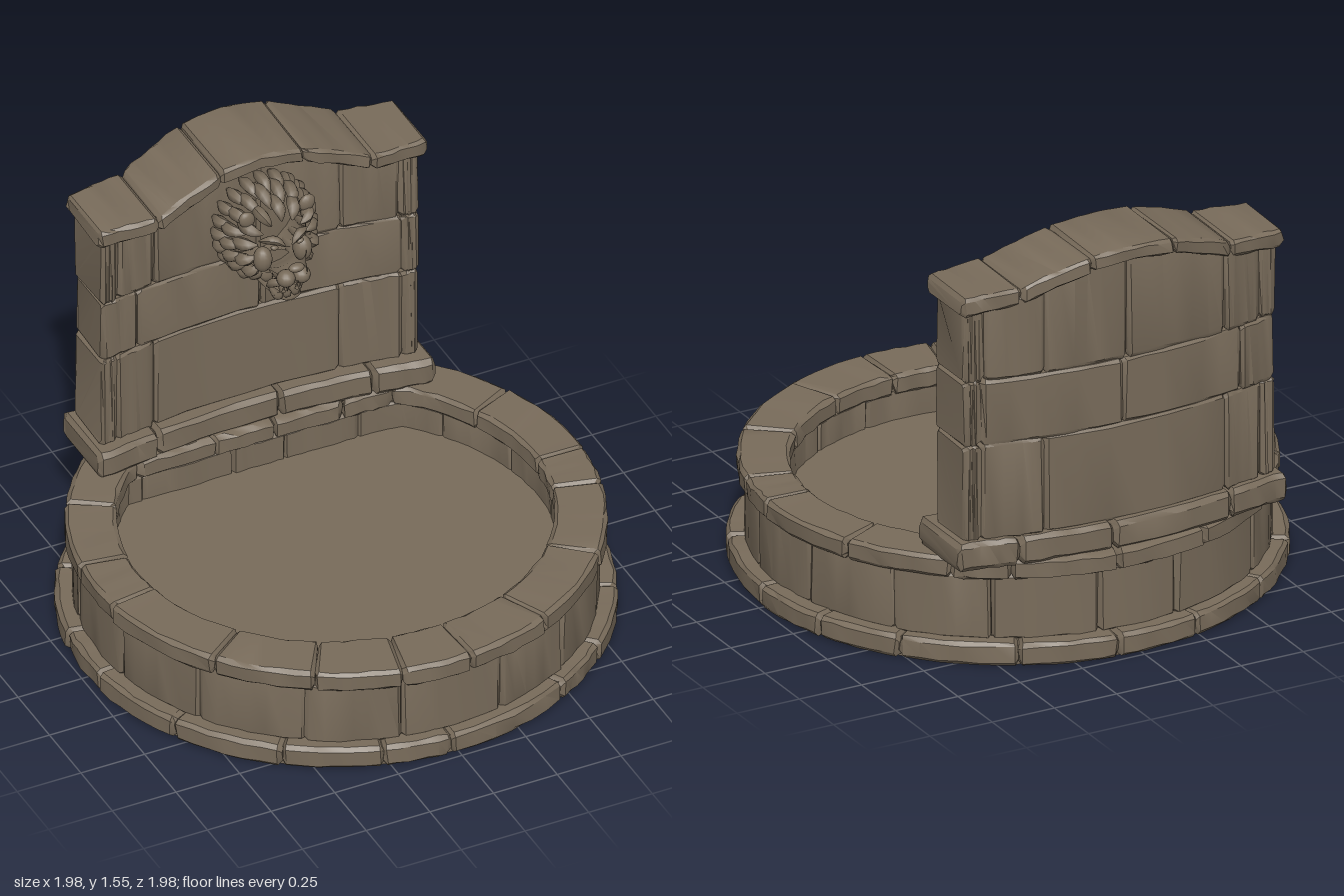
import * as THREE from 'three';
import { toCreasedNormals } from 'three/addons/utils/BufferGeometryUtils.js';

const stone = new THREE.MeshStandardMaterial({ color: 0x786b5a });
stone.name = 'weathered stone';

let seed = 7;
const rand = () => (seed = (seed * 16807) % 2147483647) / 2147483647;
const jitter = (a) => (rand() - 0.5) * 2 * a;

// piecewise linear lookup on |x|, for mirrored profiles
function profile(xs, ys) {
  return (x) => {
    const a = Math.abs(x);
    let i = 0;
    while (i < xs.length - 2 && a > xs[i + 1]) i++;
    return THREE.MathUtils.lerp(ys[i], ys[i + 1], (a - xs[i]) / (xs[i + 1] - xs[i]));
  };
}

function add(parent, name, geometry) {
  const mesh = new THREE.Mesh(geometry, stone);
  mesh.name = name;
  parent.add(mesh);
  return mesh;
}

function group(parent, name) {
  const g = new THREE.Group();
  g.name = name;
  parent.add(g);
  return g;
}

// skin a list of closed rings of points and cap both ends
function loft(rings, crease = 0.5) {
  const n = rings[0].length, pos = [], index = [];
  rings.forEach((ring) => ring.forEach((p) => pos.push(p.x, p.y, p.z)));
  for (let i = 0; i < rings.length - 1; i++) {
    for (let j = 0; j < n; j++) {
      const a = i * n + j, c = i * n + (j + 1) % n;
      index.push(a, a + n, c, a + n, c + n, c);
    }
  }
  const e = (rings.length - 1) * n;
  for (let j = 1; j < n - 1; j++) index.push(0, j, j + 1, e, e + j + 1, e + j);
  const g = new THREE.BufferGeometry();
  g.setAttribute('position', new THREE.Float32BufferAttribute(pos, 3));
  g.setIndex(index);
  return toCreasedNormals(g, crease);
}

// chamfered stone: map(s, u, v) places it, s along, u back to front, v up
function block(map, s0, s1, cu, cv, cs = 0.014, rough = 0.004) {
  const steps = 6, stops = [[s0, 1]];
  for (let i = 0; i <= steps; i++) stops.push([s0 + cs + (s1 - s0 - 2 * cs) * i / steps, 0]);
  stops.push([s1, 1]);
  return loft(stops.map(([s, inset]) => {
    const a = inset * cu, b = inset * cv, A = a + cu, B = b + cv;
    const corners = [[A, b], [1 - A, b], [1 - a, B], [1 - a, 1 - B],
      [1 - A, 1 - b], [A, 1 - b], [a, 1 - B], [a, B]];
    return corners.map(([u, v]) => {
      const p = map(s, u, v);
      p.set(p.x + jitter(rough), Math.max(0, p.y + jitter(rough * 0.6)), p.z + jitter(rough));
      return p;
    });
  }));
}

// ring of irregular curved blocks
function stoneRing(parent, name, count, inner, outer, y0, y1, cu, cv, shift) {
  const g = group(parent, name);
  const cuts = Array.from({ length: count }, (_, i) => shift + (i + jitter(0.22)) * Math.PI * 2 / count);
  cuts.push(cuts[0] + Math.PI * 2);
  for (let i = 0; i < count; i++) {
    const grow = jitter(0.005);
    add(g, name + 'Block', block((s, u, v) => {
      const r = THREE.MathUtils.lerp(inner(s), outer + grow, u);
      return new THREE.Vector3(r * Math.sin(s), y0 + (y1 - y0) * v, r * Math.cos(s));
    }, cuts[i], cuts[i + 1], cu, cv));
  }
}

// row of blocks between two plan curves and two height curves
function stoneRow(parent, name, cuts, back, front, bottom, top, cu, cv) {
  const g = group(parent, name);
  for (let i = 0; i < cuts.length - 1; i++) {
    const push = jitter(0.004);
    add(g, name + 'Block', block((x, u, v) => new THREE.Vector3(
      x,
      THREE.MathUtils.lerp(bottom(x), top(x), v),
      THREE.MathUtils.lerp(back(x), front(x), u) + push
    ), cuts[i], cuts[i + 1], cu, cv));
  }
}

function ellipsoid(parent, name, p, size, rz = 0) {
  const m = add(parent, name, new THREE.SphereGeometry(1, 14, 10));
  m.position.set(...p);
  m.scale.set(...size);
  m.rotation.z = rz;
}

// lock of hair: a tube that swells and tapers to a point
function lock(parent, name, points, radius) {
  const curve = new THREE.CatmullRomCurve3(points.map((p) => new THREE.Vector3(...p)));
  const g = new THREE.TubeGeometry(curve, 8, radius, 6, false);
  const pos = g.attributes.position, p = new THREE.Vector3();
  for (let i = 0; i < pos.count; i++) {
    const t = Math.floor(i / 7) / 8, c = curve.getPointAt(t);
    p.fromBufferAttribute(pos, i).sub(c).multiplyScalar(Math.sin(Math.PI * (0.04 + 0.92 * t))).add(c);
    pos.setXYZ(i, p.x, p.y, p.z);
  }
  g.computeVertexNormals();
  add(parent, name, g);
}

// oval sections [z, y, halfWidth, halfHeight] from back to front
function ovalLoft(sections) {
  return loft(sections.map(([z, y, w, h]) => Array.from({ length: 20 }, (_, j) => {
    const a = j * Math.PI / 10;
    return new THREE.Vector3(w * Math.cos(a), y - h * Math.sin(a), z);
  })).map((ring) => ring.reverse()), 0.9);
}

function lionHead(parent) {
  const g = group(parent, 'lionHead');
  add(g, 'skull', ovalLoft([[-0.69, 1.28, 0.155, 0.165], [-0.58, 1.285, 0.165, 0.175], [-0.5, 1.3, 0.15, 0.15],
    [-0.44, 1.3, 0.112, 0.115], [-0.4, 1.27, 0.08, 0.085], [-0.35, 1.25, 0.052, 0.052],
    [-0.315, 1.24, 0.042, 0.04], [-0.302, 1.24, 0.026, 0.024]]));
  add(g, 'lowerJaw', ovalLoft([[-0.54, 1.14, 0.085, 0.05], [-0.45, 1.125, 0.066, 0.042],
    [-0.39, 1.113, 0.05, 0.03], [-0.36, 1.115, 0.038, 0.022], [-0.352, 1.116, 0.02, 0.012]]));
  ellipsoid(g, 'nose', [0, 1.262, -0.318], [0.03, 0.016, 0.02]);
  for (const s of [-1, 1]) {
    ellipsoid(g, 'whiskerPad', [s * 0.03, 1.208, -0.342], [0.034, 0.032, 0.034]);
    ellipsoid(g, 'cheek', [s * 0.078, 1.25, -0.43], [0.035, 0.05, 0.035]);
    ellipsoid(g, 'eye', [s * 0.05, 1.315, -0.392], [0.015, 0.009, 0.01], s * 0.25);
    ellipsoid(g, 'ear', [s * 0.118, 1.405, -0.475], [0.03, 0.034, 0.018], -s * 0.5);
    lock(g, 'brow', [[s * 0.012, 1.318, -0.378], [s * 0.045, 1.345, -0.392], [s * 0.095, 1.335, -0.428]], 0.017);
    lock(g, 'lip', [[s * 0.02, 1.185, -0.335], [s * 0.055, 1.18, -0.37], [s * 0.068, 1.135, -0.42]], 0.018);
    const fang = add(g, 'upperFang', new THREE.ConeGeometry(0.009, 0.035, 6));
    fang.position.set(s * 0.027, 1.17, -0.335);
    fang.rotation.x = Math.PI;
    add(g, 'lowerFang', new THREE.ConeGeometry(0.008, 0.03, 6)).position.set(s * 0.026, 1.145, -0.368);
  }
  // three tiers of swept-back mane: radius and depth at root, middle and tip
  const tiers = [[15, 0.6, -0.435, 0.8, -0.455, 0.92, -0.53, 0.025], [20, 0.78, -0.475, 0.98, -0.515, 1.0, -0.6, 0.025],
    [22, 0.9, -0.53, 1.05, -0.575, 0.99, -0.66, 0.024]];
  tiers.forEach(([n, r0, z0, r1, z1, r2, z2, w], k) => {
    for (let i = 0; i < n; i++) {
      const a = (i + k * 0.5) * Math.PI * 2 / n + Math.PI / 2;
      if (k === 0 && Math.sin(a) < -0.6) continue;
      const sag = 0.12 * Math.cos(a);
      const at = (r, z, t) => [0.165 * r * Math.cos(a - sag * t), 1.28 + 0.178 * r * Math.sin(a - sag * t), z];
      lock(g, 'maneLock', [at(r0, z0, 0), at(r1, z1 + jitter(0.01), 1), at(r2, z2, 2)], w);
    }
  });
  for (const x of [-0.03, 0, 0.03]) lock(g, 'beardLock', [[x, 1.13, -0.37], [x * 1.1, 1.098, -0.395], [x * 1.3, 1.1, -0.46]], 0.017);
}

export function createModel() {
  const model = new THREE.Group();
  model.name = 'wallFountain';

  // round basin; the pool is flattened where it meets the wall
  const basin = group(model, 'basin');
  const poolEdge = (s) => {
    const c = Math.cos(s);
    return c < 0 ? Math.min(0.775, 0.575 / Math.max(-c, 0.01)) : 0.775 - 0.035 * c * c;
  };
  add(basin, 'basinFloor', toCreasedNormals(new THREE.LatheGeometry(
    [[0, 0], [0.965, 0], [0.965, 0.075], [0.88, 0.075], [0.88, 0.22], [0, 0.22]].map((p) => new THREE.Vector2(...p)), 48), 0.5));
  stoneRing(basin, 'foot', 17, () => 0.72, 0.988, 0, 0.088, 0.05, 0.16, 0.05);
  stoneRing(basin, 'basinWall', 16, (s) => poolEdge(s) + 0.012, 0.932, 0.08, 0.33, 0.05, 0.04, 0.2);
  stoneRing(basin, 'rim', 17, poolEdge, 0.958, 0.318, 0.398, 0.07, 0.16, 0.13);

  // back wall, gently bowed in plan
  const wall = group(model, 'backWall');
  const bow = (x) => Math.max(0, 1 - (x / 0.6) ** 2);
  const front = (x) => -0.605 - 0.055 * bow(x);
  const back = (x) => -0.82 - 0.08 * bow(x);
  const flat = (y) => () => y;
  const capX = [0, 0.15, 0.3, 0.42, 0.65];
  const capTop = profile(capX, [1.556, 1.543, 1.497, 1.452, 1.442]);
  const capBottom = profile(capX, [1.5, 1.485, 1.435, 1.39, 1.37]);
  stoneRow(wall, 'plinth', [-0.66, -0.41, 0.08, 0.43, 0.66],
    (x) => back(x) - 0.03, (x) => front(x) + 0.06, flat(0.39), flat(0.498), 0.05, 0.16);
  stoneRow(wall, 'lowerCourse', [-0.625, -0.56, -0.4, 0.33, 0.56, 0.622], back, front, flat(0.49), flat(0.862), 0.04, 0.03);
  stoneRow(wall, 'middleCourse', [-0.62, -0.47, 0.03, 0.56, 0.625], back, front, flat(0.858), flat(1.108), 0.04, 0.045);
  stoneRow(wall, 'upperCourse', [-0.625, -0.555, -0.4, 0.01, 0.33, 0.55, 0.622], back, front,
    flat(1.104), (x) => capBottom(x) + 0.03, 0.04, 0.04);

  // arched coping
  stoneRow(wall, 'coping', [-0.645, -0.42, -0.16, 0.17, 0.42, 0.645],
    profile(capX, [-0.945, -0.935, -0.9, -0.875, -0.845]),
    profile(capX, [-0.605, -0.595, -0.575, -0.555, -0.58]), capBottom, capTop, 0.04, 0.16);

  lionHead(model);
  return model;
}
